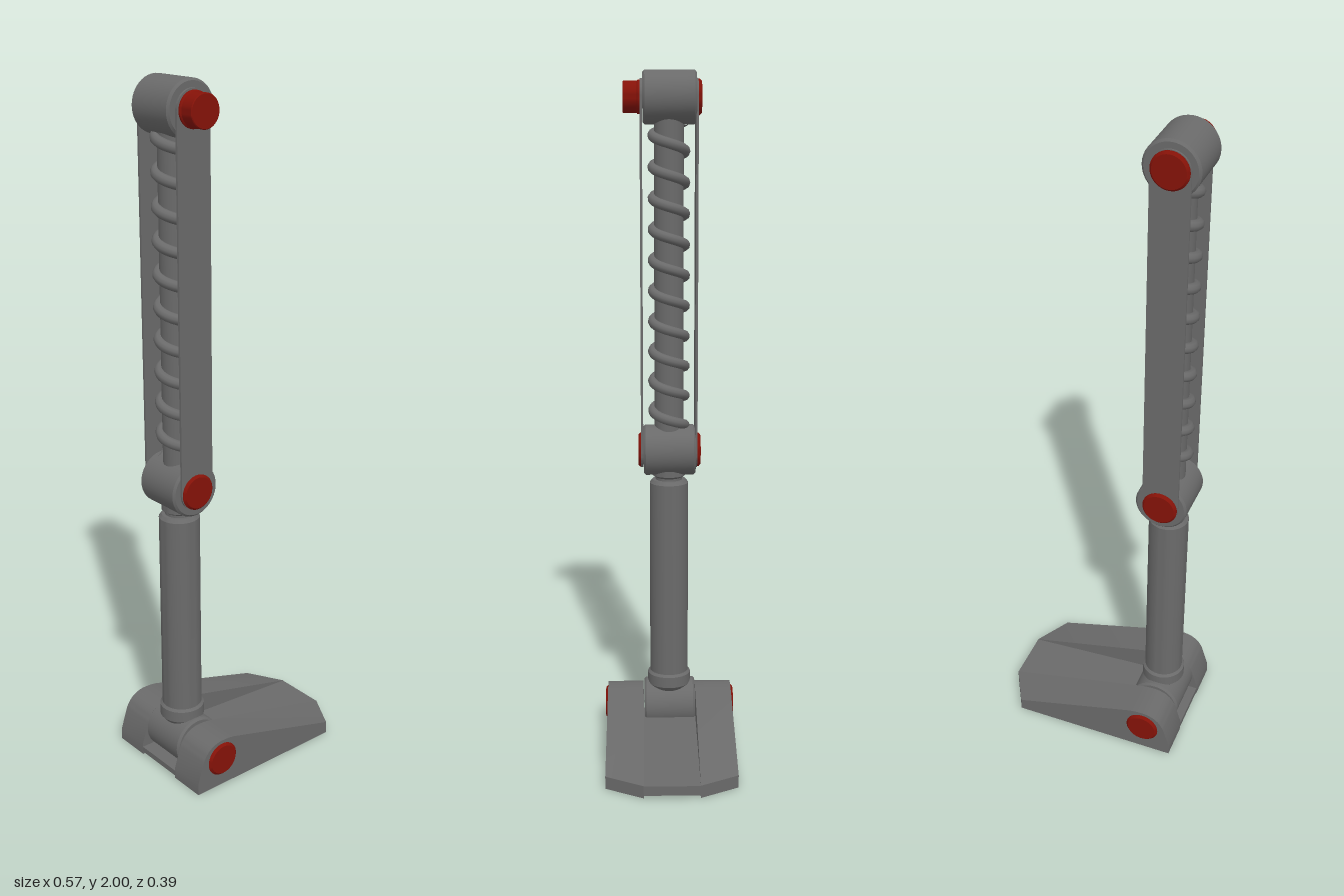
import * as THREE from 'three';
import { toCreasedNormals } from 'three/addons/utils/BufferGeometryUtils.js';

const grey = new THREE.MeshStandardMaterial({ color: 0x6a6a6a });
const red = new THREE.MeshStandardMaterial({ color: 0x851208 });

const LEG_X = -0.194, ANKLE_Y = 0.086, KNEE_Y = 0.893, HIP_Y = 1.924;

const v2 = (pts) => pts.map(([x, y]) => new THREE.Vector2(x, y));

function addMesh(parent, name, geometry, material = grey) {
  const mesh = new THREE.Mesh(geometry, material);
  mesh.name = name;
  parent.add(mesh);
  return mesh;
}

// Turned part from [radius, height] points, with sharp edges kept
const turned = (pts) => toCreasedNormals(new THREE.LatheGeometry(v2(pts), 40), 0.4);

// Solid disc with chamfered ends, lying along z from z0 to z1
function disc(r, z0, z1, c0 = 0, c1 = 0) {
  const pts = [[0, z0], [r - c0, z0]];
  if (c0) pts.push([r, z0 + c0]);
  if (c1) pts.push([r, z1 - c1]);
  pts.push([r - c1, z1], [0, z1]);
  return turned(pts).rotateX(Math.PI / 2);
}

function placeDisc(parent, name, y, material, ...args) {
  addMesh(parent, name, disc(...args), material).position.set(LEG_X, y, 0);
}

// Thin side link with rounded ends
function linkGeometry() {
  const r = 0.053, s = new THREE.Shape();
  s.absarc(0, HIP_Y, r, 0, Math.PI, false);
  s.absarc(0, KNEE_Y, r, Math.PI, Math.PI * 2, false);
  s.closePath();
  const g = new THREE.ExtrudeGeometry(s, { depth: 0.007, bevelEnabled: false, curveSegments: 20 });
  return toCreasedNormals(g, 0.4);
}

// Foot side: rounded heel, sloping top, toe cut back toward the outside
function footSideGeometry(side) {
  const s = new THREE.Shape();
  s.moveTo(-0.284, 0);
  s.lineTo(0.283, 0);
  s.lineTo(0.283, 0.037);
  s.lineTo(-0.15, 0.143);
  s.quadraticCurveTo(-0.175, 0.148, -0.2, 0.147);
  s.quadraticCurveTo(-0.245, 0.143, -0.263, 0.1);
  s.lineTo(-0.284, 0.035);
  s.closePath();
  const g = new THREE.ExtrudeGeometry(s, { depth: 0.11, bevelEnabled: false, curveSegments: 8 });
  g.translate(0, 0, side > 0 ? 0.079 : -0.19);
  const p = g.attributes.position;
  for (let i = 0; i < p.count; i++) {
    if (p.getX(i) > 0.2 && Math.abs(p.getZ(i)) > 0.15) p.setX(i, 0.222);
  }
  return toCreasedNormals(g, 0.4);
}

export function createModel() {
  const model = new THREE.Group();
  model.name = 'leg';

  // Foot
  const foot = new THREE.Group();
  foot.name = 'foot';
  model.add(foot);
  for (const side of [1, -1]) {
    addMesh(foot, side > 0 ? 'footSideFront' : 'footSideBack', footSideGeometry(side));
    const [z0, z1] = side > 0 ? [0.185, 0.196] : [-0.198, -0.185];
    placeDisc(foot, 'anklePin', ANKLE_Y, red, 0.051, z0, z1, side < 0 ? 0.007 : 0, side > 0 ? 0.007 : 0);
  }
  // Sole between the sides, slightly raised off the ground
  const sole = new THREE.Shape(v2([
    [-0.284, 0.008], [0.283, 0.008], [0.283, 0.036], [-0.13, 0.063], [-0.15, 0.025], [-0.284, 0.025],
  ]));
  addMesh(foot, 'footSole', new THREE.ExtrudeGeometry(sole, { depth: 0.16, bevelEnabled: false }).translate(0, 0, -0.08));

  // Pivot barrels
  for (const [name, y] of [['ankleBarrel', ANKLE_Y], ['kneeBarrel', KNEE_Y], ['hipBarrel', HIP_Y]]) {
    placeDisc(model, name, y, grey, 0.076, -0.079, 0.076, 0.006, 0.006);
  }

  // Shin with ankle collar and knee neck
  addMesh(model, 'shin', turned([
    [0.045, ANKLE_Y], [0.045, 0.13], [0.065, 0.155], [0.065, 0.188], [0.058, 0.195],
    [0.058, 0.793], [0.05, 0.803], [0.04, 0.803], [0.04, 0.81], [0.05, 0.817], [0.05, KNEE_Y],
  ])).position.x = LEG_X;

  // Thigh rod and the spring wound round it
  addMesh(model, 'thighRod', new THREE.CylinderGeometry(0.043, 0.043, HIP_Y - KNEE_Y, 32))
    .position.set(LEG_X, (HIP_Y + KNEE_Y) / 2, 0);
  const pitch = 0.0893, y0 = 0.96, y1 = 1.86, coil = [];
  const turns = (y1 - y0) / pitch, steps = Math.round(turns * 20);
  for (let i = 0; i <= steps; i++) {
    const y = y0 + (y1 - y0) * i / steps;
    const a = (y - 1.795) / pitch * Math.PI * 2;
    coil.push(new THREE.Vector3(Math.cos(a) * 0.047, y, Math.sin(a) * 0.047));
  }
  addMesh(model, 'spring', new THREE.TubeGeometry(new THREE.CatmullRomCurve3(coil), 400, 0.015, 10))
    .position.x = LEG_X;

  // Side links
  const link = linkGeometry();
  addMesh(model, 'linkFront', link).position.set(LEG_X, 0, 0.077);
  addMesh(model, 'linkBack', link).position.set(LEG_X, 0, -0.084);

  // Knee and hip pins
  placeDisc(model, 'kneePinFront', KNEE_Y, red, 0.051, 0.083, 0.092, 0, 0.006);
  placeDisc(model, 'kneePinBack', KNEE_Y, red, 0.051, -0.094, -0.083, 0.006, 0);
  placeDisc(model, 'hipPinBack', HIP_Y, red, 0.051, -0.094, -0.083, 0.006, 0);
  placeDisc(model, 'hipPinBase', HIP_Y, red, 0.048, 0.083, 0.092, 0, 0.003);
  placeDisc(model, 'hipPeg', HIP_Y, red, 0.045, 0.083, 0.132, 0, 0.002);

  return model;
}
